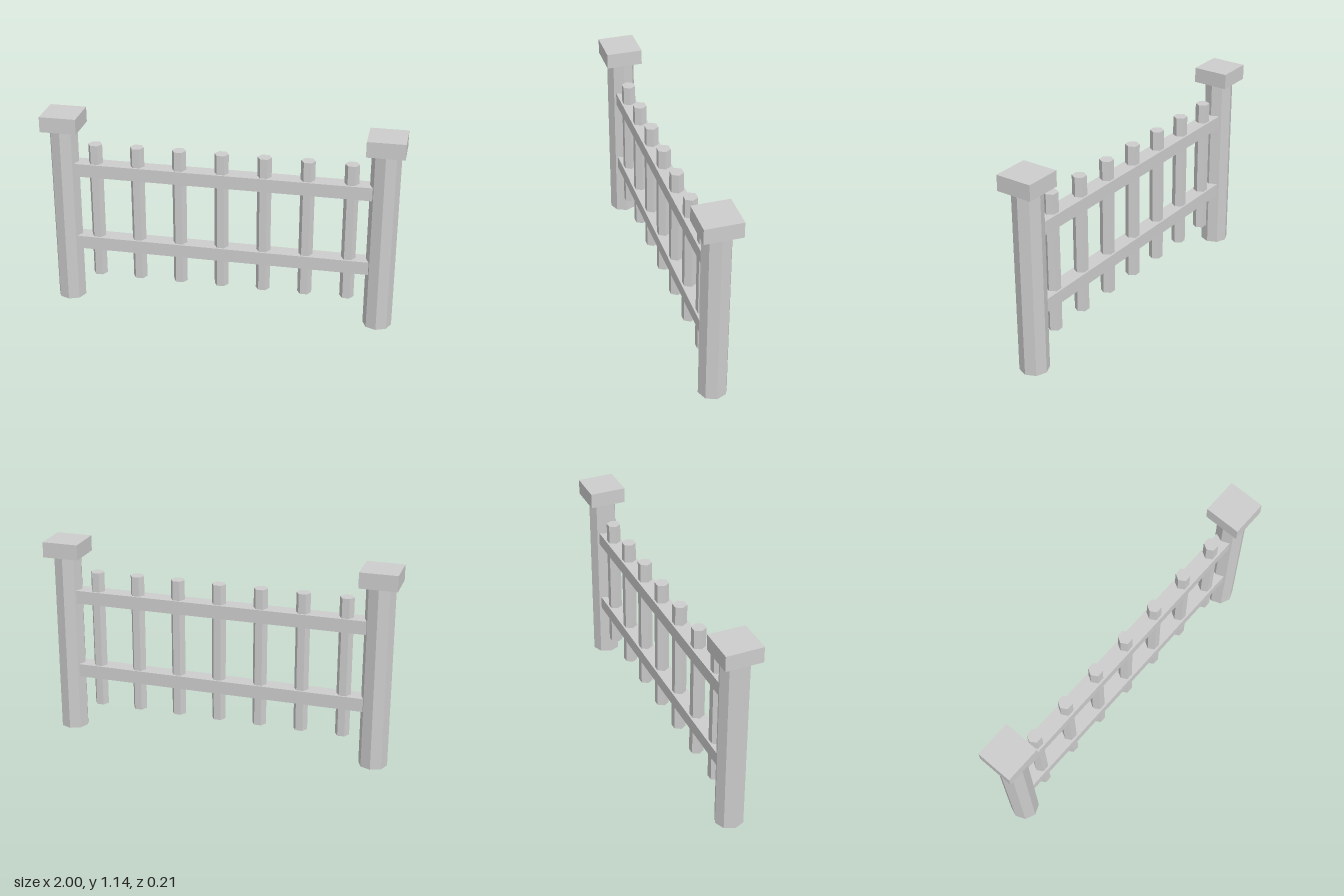
import * as THREE from 'three';

export function createModel() {
  const model = new THREE.Group();
  model.name = 'fence';
  const grey = new THREE.MeshStandardMaterial({ name: 'light grey', color: 0xcccccc, flatShading: true });

  function add(name, geometry, x, y, z = 0) {
    const mesh = new THREE.Mesh(geometry, grey);
    mesh.name = name;
    mesh.position.set(x, y, z);
    model.add(mesh);
  }

  // Octagonal end posts with square caps
  const post = new THREE.CylinderGeometry(0.081, 0.081, 1.05, 8);
  const cap = new THREE.BoxGeometry(0.207, 0.088, 0.207);
  for (const [side, s] of [['left', 1], ['right', -1]]) {
    add(side + 'Post', post, s * 0.8965, 0.525);
    add(side + 'Cap', cap, s * 0.8965, 1.094);
  }

  // Horizontal rails, running slightly into the posts
  const rail = new THREE.BoxGeometry(1.67, 0.076, 0.092);
  add('upperRail', rail, 0, 0.812);
  add('lowerRail', rail, 0, 0.363);

  // Hexagonal pickets, a corner pointing along x
  const picket = new THREE.CylinderGeometry(0.04, 0.04, 0.804, 6).rotateY(Math.PI / 6);
  for (let i = -3; i <= 3; i++) add('picket' + (i + 4), picket, i * 0.239, 0.56);

  return model;
}
